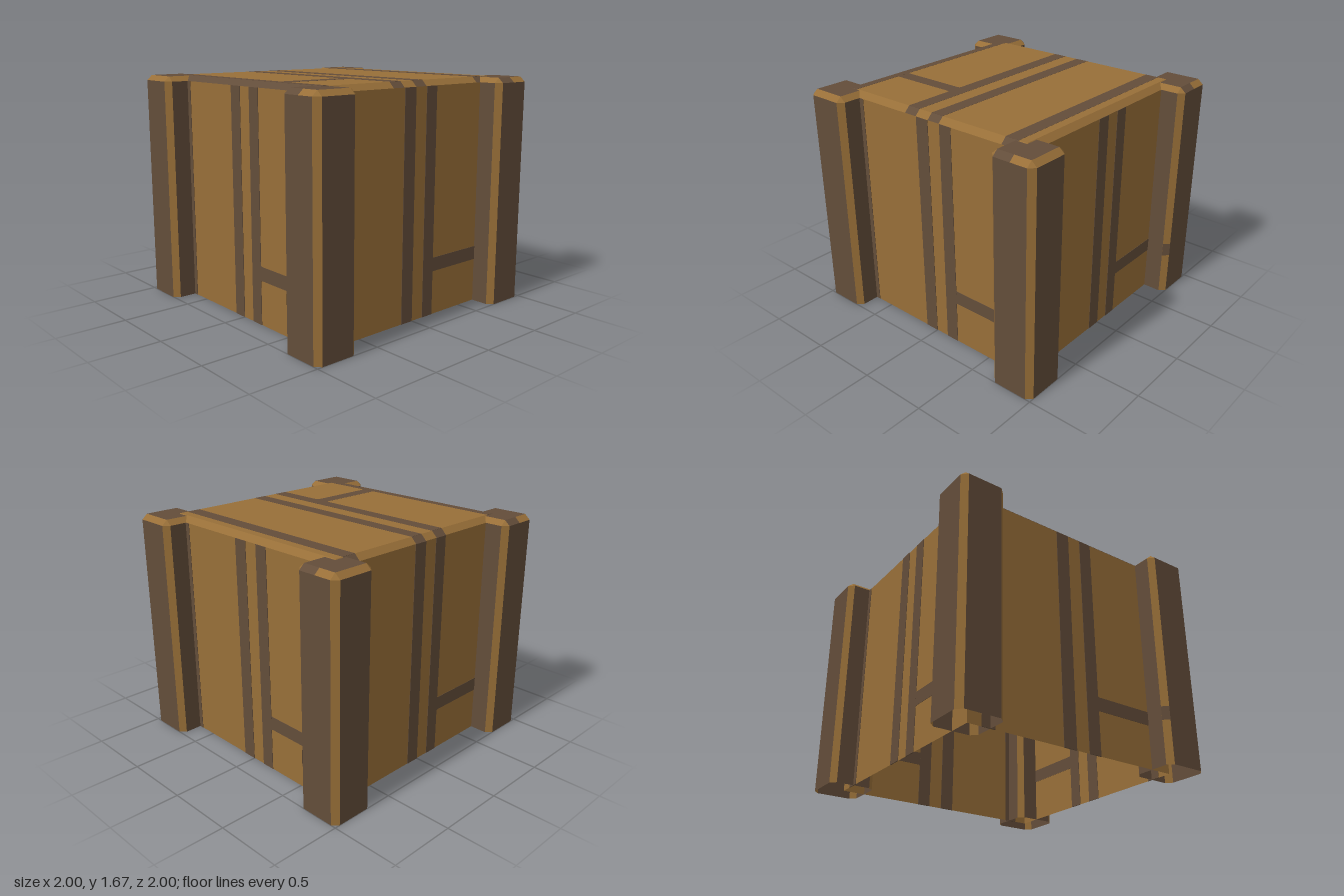
import * as THREE from 'three';
import { mergeGeometries } from 'three/addons/utils/BufferGeometryUtils.js';

const H = 1.67, B = 0.04;          // total height, bevel width
const W = 0.83, WI = W - B;        // crate half width, inside the bevel
const PC = 0.833, P = 0.167, PI_ = P - B; // post centre, half width, inside the bevel
const YB = H - B;                  // height where the bevels start

// Flat polygon (fan) from counter-clockwise corners
function face(...pts) {
  const pos = [];
  for (let i = 1; i < pts.length - 1; i++) pos.push(...pts[0], ...pts[i], ...pts[i + 1]);
  const g = new THREE.BufferGeometry();
  g.setAttribute('position', new THREE.Float32BufferAttribute(pos, 3));
  g.computeVertexNormals();
  return g;
}

const addMesh = (parent, name, geos, mat) => {
  const m = new THREE.Mesh(geos.length > 1 ? mergeGeometries(geos) : geos[0], mat);
  m.name = name;
  parent.add(m);
  return m;
};

// Thin painted band facing +z, straddling the panel so it shows on both sides
const band = (x0, x1, y0, y1) =>
  new THREE.BoxGeometry(x1 - x0, y1 - y0, 0.006).translate((x0 + x1) / 2, (y0 + y1) / 2, 0);

// Cross band whose chosen ends flare with small fillets
function crossBand(x0, x1, y0, y1, flareLeft, flareRight) {
  const r = 0.02, s = new THREE.Shape();
  const l = flareLeft ? r : 0, k = flareRight ? r : 0;
  s.moveTo(x0, y0 - l);
  if (l) s.quadraticCurveTo(x0, y0, x0 + l, y0);
  s.lineTo(x1 - k, y0);
  if (k) s.quadraticCurveTo(x1, y0, x1, y0 - k);
  s.lineTo(x1, y1 + k);
  if (k) s.quadraticCurveTo(x1, y1, x1 - k, y1);
  s.lineTo(x0 + l, y1);
  if (l) s.quadraticCurveTo(x0, y1, x0, y1 + l);
  s.closePath();
  return new THREE.ExtrudeGeometry(s, { depth: 0.005, bevelEnabled: false, curveSegments: 4 })
    .translate(0, 0, -0.0025);
}

// One side wall with its painted bands, facing +z
function wall(wood, dark) {
  const g = new THREE.Group();
  g.name = 'sideWall';
  addMesh(g, 'sidePanel', [face([-W, 0, W], [W, 0, W], [W, YB, W], [-W, YB, W])], wood);
  const bands = [[-0.73, -0.63], [-0.105, 0], [0.105, 0.205]].map(([a, b]) => band(a, b, 0, YB));
  addMesh(g, 'sideBands', bands, dark).position.z = W;
  addMesh(g, 'sideCrossBand', [crossBand(0.2, 0.73, 0.32, 0.42, true, false)], dark).position.z = W;
  return g;
}

// Lid with bands, and bevels that carry the bands over the front and back edges
function lid(wood, dark) {
  const g = new THREE.Group();
  g.name = 'lid';
  addMesh(g, 'lidPanel', [face([-WI, H, WI], [WI, H, WI], [WI, H, -WI], [-WI, H, -WI])], wood);
  const stripes = [[-WI, -0.73], [-0.21, -0.11], [0, 0.1], [0.625, 0.727]];
  const flat = m => { m.rotation.x = -Math.PI / 2; m.position.y = H - 0.002; };
  flat(addMesh(g, 'lidBands', stripes.map(([a, b]) => band(a, b, -WI, WI)), dark));
  flat(addMesh(g, 'lidCrossBand', [crossBand(-0.73, -0.21, -0.412, -0.31, true, true)], dark));

  const cuts = [-W, -0.73, -0.21, -0.11, 0, 0.1, 0.625, 0.727, W];
  const inner = x => THREE.MathUtils.clamp(x, -WI, WI);
  const light = [], shade = [];
  for (let i = 0; i < cuts.length - 1; i++) {
    const a = cuts[i], b = cuts[i + 1], list = i % 2 ? light : shade;
    list.push(face([a, YB, W], [b, YB, W], [inner(b), H, WI], [inner(a), H, WI]));
    list.push(face([b, YB, -W], [a, YB, -W], [inner(a), H, -WI], [inner(b), H, -WI]));
  }
  light.push(face([W, YB, W], [W, YB, -W], [WI, H, -WI], [WI, H, WI]));
  shade.push(face([-W, YB, -W], [-W, YB, W], [-WI, H, WI], [-WI, H, -WI]));
  addMesh(g, 'lidBevel', light, wood);
  addMesh(g, 'lidBevelBands', shade, dark);
  return g;
}

// Corner post: dark faces, wooden chamfers, hollow and open below
function post(wood, dark, marked) {
  const g = new THREE.Group();
  g.name = 'cornerPost';
  const T = H - 0.004;
  const faces = [face([-PI_, T, PI_], [PI_, T, PI_], [PI_, T, -PI_], [-PI_, T, -PI_])];
  const edges = [];
  for (let k = 0; k < 4; k++) {
    const turn = geo => geo.rotateY(k * Math.PI / 2);
    const bevel = (a, b) => turn(face([a, YB, P], [b, YB, P], [b, T, PI_], [a, T, PI_]));
    faces.push(turn(face([-PI_, 0, P], [PI_, 0, P], [PI_, YB, P], [-PI_, YB, P])));
    edges.push(turn(face([PI_, 0, P], [P, 0, PI_], [P, YB, PI_], [PI_, YB, P])));
    edges.push(turn(face([PI_, YB, P], [P, YB, PI_], [PI_, T, PI_])));
    (k === 0 ? faces : edges).push(bevel(-PI_, 0));
    edges.push(bevel(0, PI_));
  }
  addMesh(g, 'postFaces', faces, dark);
  addMesh(g, 'postChamfers', edges, wood);
  if (marked) {
    // Cross band running on over the chamfer
    const mark = face([-P, 0.32, PI_], [-PI_, 0.32, P], [-PI_, 0.42, P], [-P, 0.42, PI_]);
    addMesh(g, 'chamferMark', [mark.translate(-0.002, 0, 0.002)], dark);
  }
  g.position.set(PC, 0, PC);
  return g;
}

export function createModel() {
  const wood = new THREE.MeshStandardMaterial({ color: 0x986f38, side: THREE.DoubleSide });
  wood.name = 'wood';
  const dark = new THREE.MeshStandardMaterial({ color: 0x634d3a, side: THREE.DoubleSide });
  dark.name = 'darkWood';

  const model = new THREE.Group();
  model.name = 'crate';
  for (let k = 0; k < 4; k++) {
    const quarter = new THREE.Group();
    quarter.name = 'crateQuarter';
    quarter.add(wall(wood, dark), post(wood, dark, k % 2 === 1));
    quarter.rotation.y = k * Math.PI / 2;
    model.add(quarter);
  }
  model.add(lid(wood, dark));
  return model;
}
